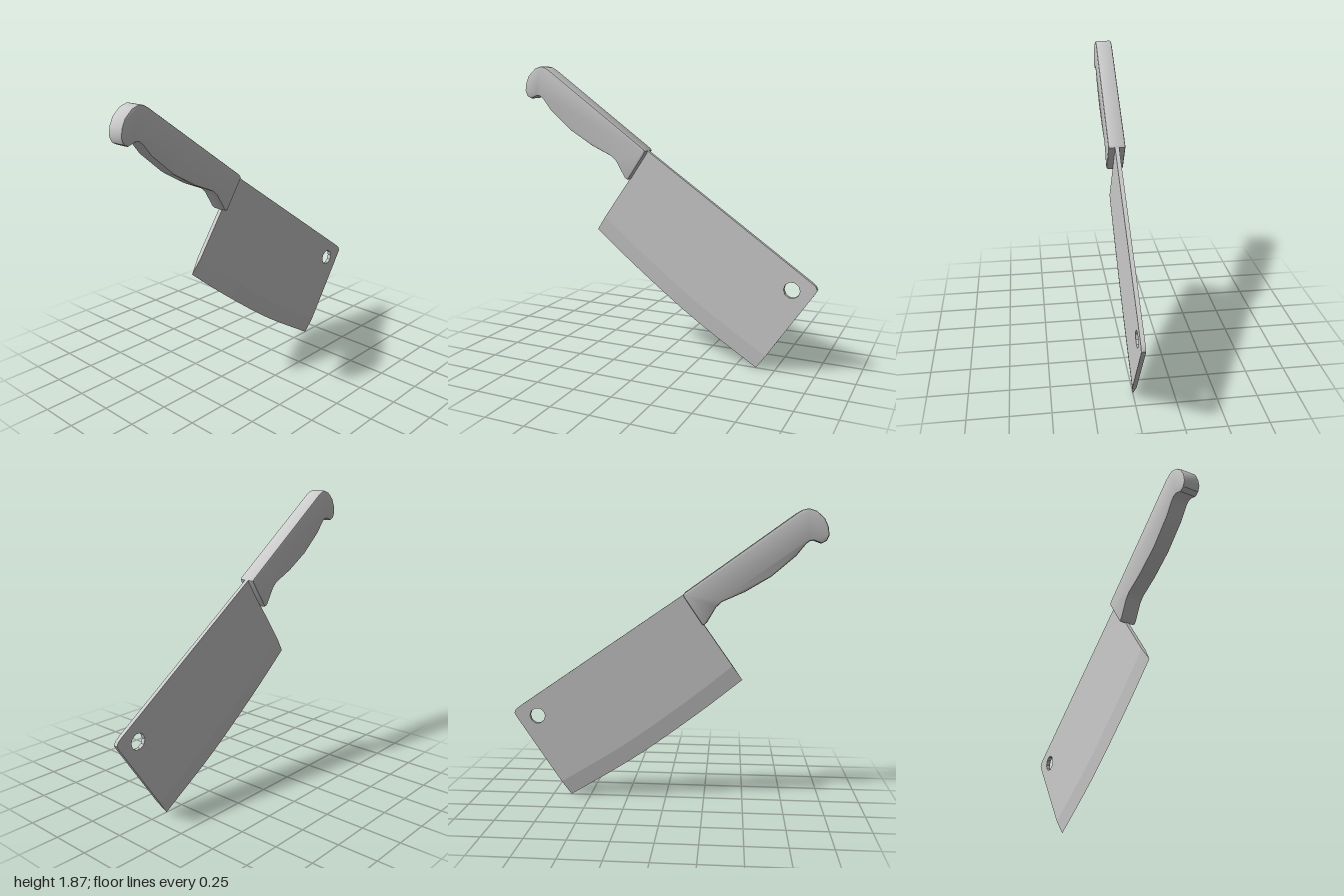
import * as THREE from 'three';
import { toCreasedNormals } from 'three/addons/utils/BufferGeometryUtils.js';

const material = new THREE.MeshStandardMaterial({ color: 0xcccccc });
const toVectors = (pairs) => pairs.map(([x, y]) => new THREE.Vector2(x, y));

const BLADE_HALF = 0.013;
const HANDLE_HALF = 0.055;

// Curved cutting edge, and the line where the ground bevel begins
const edge = new THREE.SplineCurve(toVectors([
  [-0.49, 0.795], [-0.2, 0.562], [0.2, 0.268], [0.63, 0],
])).getPoints(16);
const bevelLine = edge.map((p) => new THREE.Vector2(p.x + 0.063, p.y + 0.09));

function namedMesh(name, geometry) {
  const mesh = new THREE.Mesh(geometry, material);
  mesh.name = name;
  return mesh;
}

// Flat plate with rounded tip corner and hanging hole
function bladePlate() {
  const shape = new THREE.Shape([
    ...bevelLine,
    ...toVectors([
      [0.985, 0.525], [1, 0.552], [0.99, 0.574], [0.965, 0.595],
      [-0.125, 1.345], [-0.245, 1.165], [-0.237, 1.155],
    ]),
  ]);
  const hole = [];
  for (let i = 0; i < 10; i++) {
    const a = -(i / 10) * Math.PI * 2;
    hole.push(new THREE.Vector2(0.845 + 0.051 * Math.cos(a), 0.535 + 0.051 * Math.sin(a)));
  }
  shape.holes.push(new THREE.Path(hole));
  const geometry = new THREE.ExtrudeGeometry(shape, { depth: 2 * BLADE_HALF, bevelEnabled: false });
  geometry.translate(0, 0, -BLADE_HALF);
  return toCreasedNormals(geometry, 0.6);
}

// Wedge tapering from the plate thickness to the sharp edge
function bladeBevel() {
  const positions = [];
  const sharp = edge.map((p) => [p.x, p.y, 0]);
  const front = bevelLine.map((p) => [p.x, p.y, BLADE_HALF]);
  const back = bevelLine.map((p) => [p.x, p.y, -BLADE_HALF]);
  const tri = (...corners) => corners.forEach((c) => positions.push(...c));
  for (let i = 0; i < edge.length - 1; i++) {
    const j = i + 1;
    tri(sharp[i], sharp[j], front[j]);
    tri(sharp[i], front[j], front[i]);
    tri(sharp[j], sharp[i], back[j]);
    tri(sharp[i], back[i], back[j]);
  }
  const last = edge.length - 1;
  tri(sharp[0], front[0], back[0]);
  tri(sharp[last], back[last], front[last]);
  const geometry = new THREE.BufferGeometry();
  geometry.setAttribute('position', new THREE.Float32BufferAttribute(positions, 3));
  return toCreasedNormals(geometry, 0.6);
}

// Contoured grip with a hooked butt and softened rims
function handleGrip() {
  const shape = new THREE.Shape(toVectors([
    [-0.235, 1.15], [-0.118, 1.322], [-0.113, 1.336], [-0.122, 1.35],
    [-0.805, 1.838], [-0.838, 1.857], [-0.875, 1.865], [-0.92, 1.85],
    [-0.97, 1.805], [-0.993, 1.755], [-1, 1.705], [-0.985, 1.67],
    [-0.955, 1.655], [-0.91, 1.672], [-0.885, 1.67], [-0.86, 1.65],
    [-0.805, 1.58], [-0.655, 1.452], [-0.495, 1.357], [-0.355, 1.295],
    [-0.32, 1.262], [-0.263, 1.165], [-0.25, 1.152],
  ]));
  const bevel = 0.011;
  const geometry = new THREE.ExtrudeGeometry(shape, {
    depth: 2 * (HANDLE_HALF - bevel),
    bevelThickness: bevel,
    bevelSize: bevel,
    bevelOffset: -bevel,
    bevelSegments: 2,
  });
  geometry.translate(0, 0, -(HANDLE_HALF - bevel));
  return toCreasedNormals(geometry, 0.7);
}

export function createModel() {
  const model = new THREE.Group();
  model.name = 'cleaver';
  const blade = new THREE.Group();
  blade.name = 'blade';
  blade.add(namedMesh('bladePlate', bladePlate()), namedMesh('bladeBevel', bladeBevel()));
  model.add(blade, namedMesh('handle', handleGrip()));
  return model;
}
